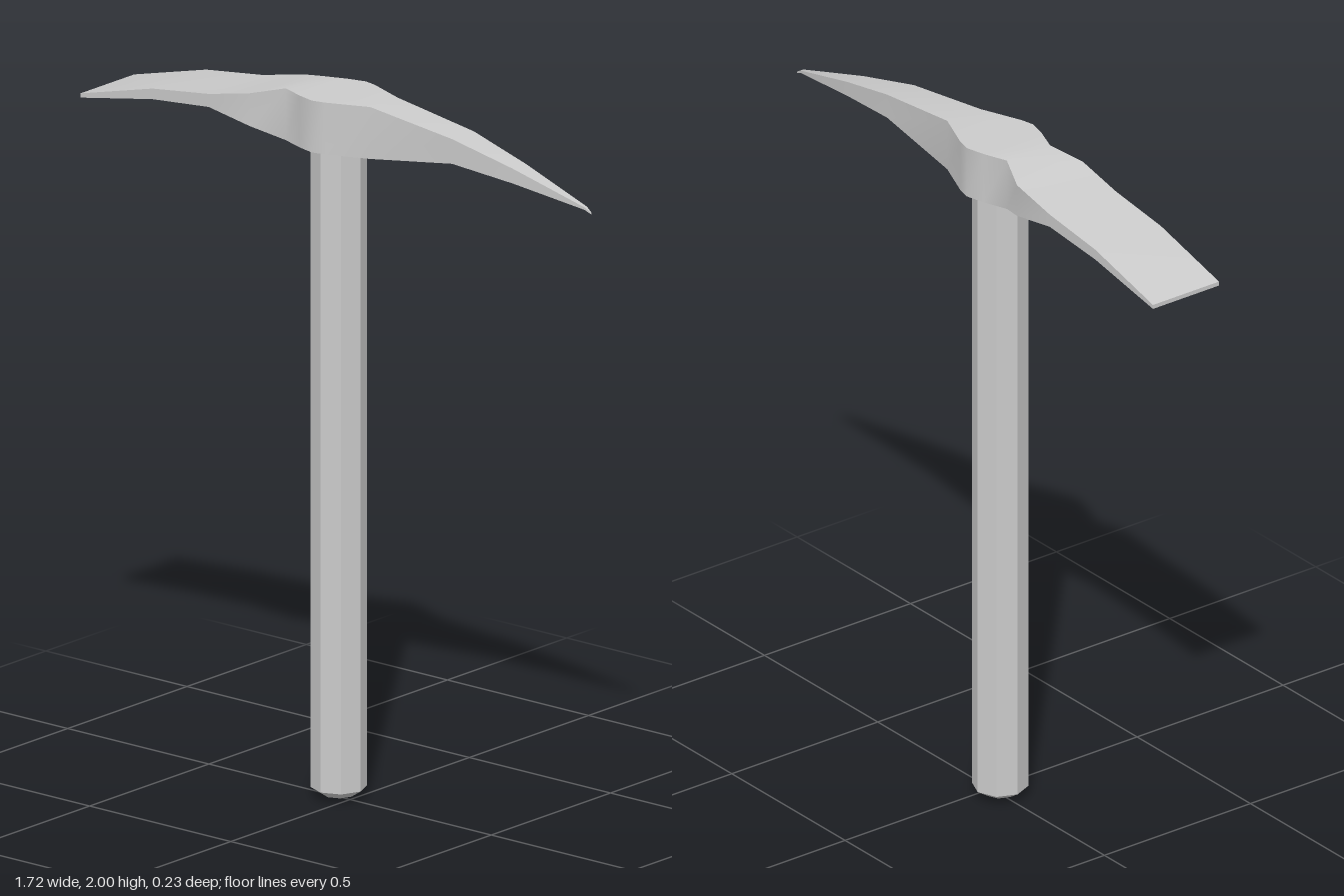
import * as THREE from 'three';
import { toCreasedNormals } from 'three/addons/utils/BufferGeometryUtils.js';

// Head stations along x: [x, top y, bottom y, half width in z]
const HEAD = [
  [-0.86, 1.855, 1.843, 0.113],
  [-0.605, 1.92, 1.89, 0.113],
  [-0.405, 1.945, 1.908, 0.113],
  [-0.26, 1.976, 1.883, 0.113],
  [-0.165, 2, 1.853, 0.074],
  [-0.095, 2, 1.853, 0.1],
  [-0.04, 2, 1.853, 0.114],
  [0, 2, 1.853, 0.105],
  [0.12, 2, 1.853, 0.057],
  [0.4, 1.963, 1.893, 0.046],
  [0.6, 1.915, 1.873, 0.028],
  [0.835, 1.847, 1.84, 0.005],
  [0.855, 1.834, 1.83, 0.001],
];

// Joins rectangular cross-sections into a closed bar
function sweptBar(stations) {
  const positions = [], index = [];
  for (const [x, top, bottom, w] of stations) {
    positions.push(x, top, w, x, top, -w, x, bottom, -w, x, bottom, w);
  }
  const last = (stations.length - 1) * 4;
  for (let i = 0; i < last; i += 4) {
    for (let k = 0; k < 4; k++) {
      const a = i + k, d = i + (k + 1) % 4;
      index.push(a, a + 4, d + 4, a, d + 4, d);
    }
  }
  index.push(0, 1, 2, 0, 2, 3);
  index.push(last, last + 2, last + 1, last, last + 3, last + 2);
  const geometry = new THREE.BufferGeometry();
  geometry.setAttribute('position', new THREE.Float32BufferAttribute(positions, 3));
  geometry.setIndex(index);
  return geometry;
}

export function createModel() {
  const group = new THREE.Group();
  group.name = 'pickaxe';
  const material = new THREE.MeshStandardMaterial({ color: 0xcccccc });

  // Octagonal handle with a shallow domed butt
  const profile = [[0, 0], [0.045, 0.009], [0.077, 0.03], [0.077, 1.87]]
    .map(([r, y]) => new THREE.Vector2(r, y));
  const handle = new THREE.Mesh(
    toCreasedNormals(new THREE.LatheGeometry(profile, 8), 0.6), material);
  handle.name = 'handle';
  handle.position.x = -0.04;
  group.add(handle);

  // Head: flat adze blade on one side, tapering spike on the other
  const head = new THREE.Mesh(toCreasedNormals(sweptBar(HEAD), 0.85), material);
  head.name = 'head';
  group.add(head);

  return group;
}
